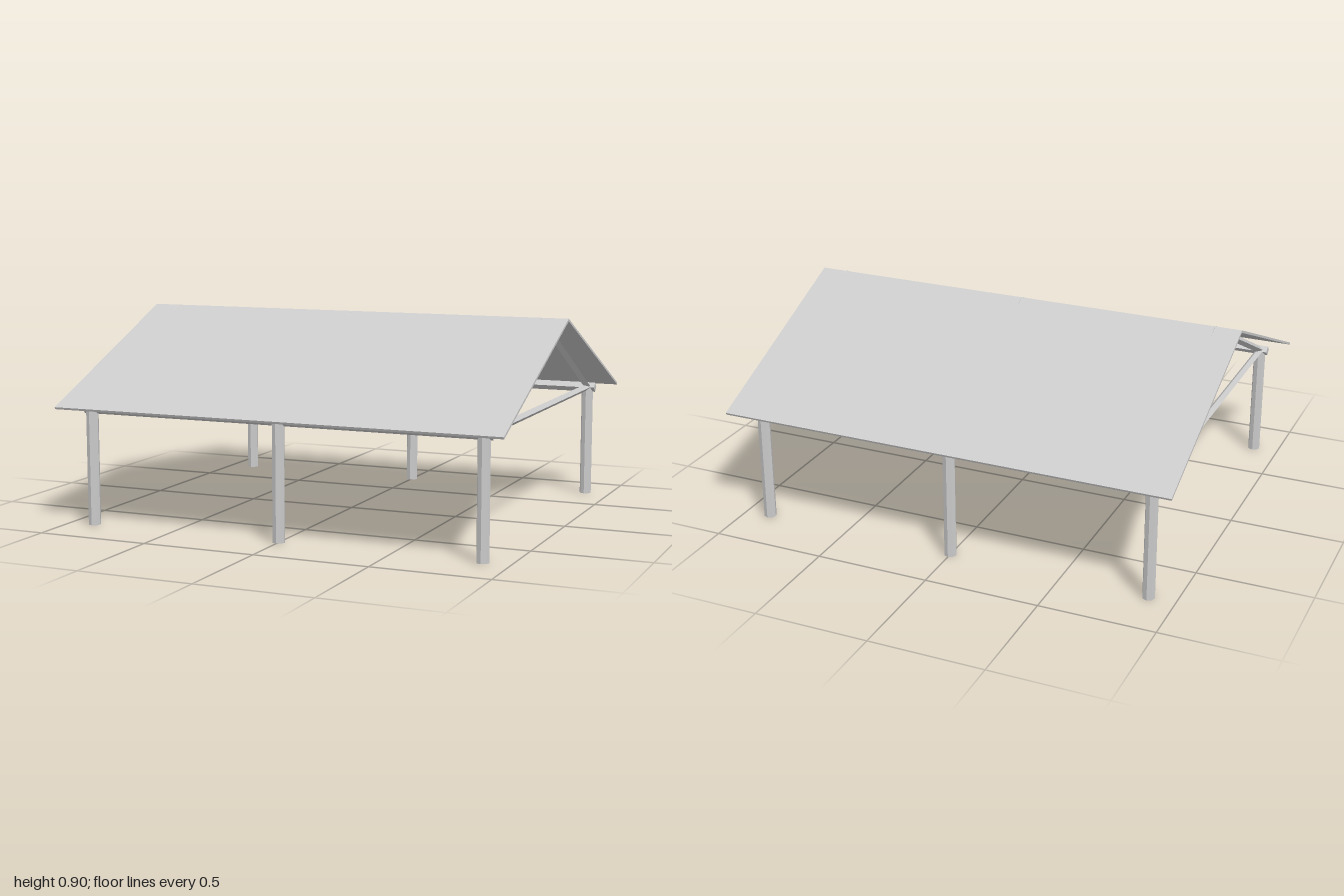
import * as THREE from 'three';

export function createModel() {
  const group = new THREE.Group();
  const grey = new THREE.MeshStandardMaterial({ color: 0xcccccc });
  grey.name = 'light grey';
  const add = (name, geometry) => {
    const mesh = new THREE.Mesh(geometry.toNonIndexed(), grey);
    mesh.geometry.computeVertexNormals(); // faceted surfaces
    mesh.name = name;
    group.add(mesh);
    return mesh;
  };

  // straight bar between two points, one corner edge facing up
  const up = new THREE.Vector3(0, 1, 0);
  const bar = (name, from, to, radius, sides) => {
    const a = new THREE.Vector3(...from);
    const b = new THREE.Vector3(...to);
    const dir = b.clone().sub(a);
    const mesh = add(name, new THREE.CylinderGeometry(radius, radius, dir.length(), sides));
    mesh.position.copy(a).add(b).multiplyScalar(0.5);
    mesh.quaternion.setFromUnitVectors(up, dir.normalize());
  };

  const postZ = 0.762, beamY = 0.508, apexY = 0.882;

  // three frames: posts, tie beam and a pair of rafters
  for (const x of [-0.885, 0, 0.885]) {
    for (const s of [-1, 1]) {
      bar('post', [x, 0, s * postZ], [x, beamY, s * postZ], 0.027, 8);
      bar('rafter', [x, beamY, s * postZ], [x, apexY, 0], 0.0165, 4);
    }
    bar('tieBeam', [x, beamY, -postZ], [x, beamY, postZ], 0.0165, 4);
  }

  // long beams along both eaves
  for (const s of [-1, 1]) {
    bar('eaveBeam', [-0.922, beamY, s * postZ], [0.922, beamY, s * postZ], 0.022, 4);
  }

  // thin gable roof, a chevron section run along x
  const section = new THREE.Shape([
    [0, 0.886], [-0.871, 0.512], [-0.875, 0.521], [0, 0.897], [0.875, 0.521], [0.871, 0.512],
  ].map(([z, y]) => new THREE.Vector2(z, y)));
  const roof = new THREE.ExtrudeGeometry(section, { depth: 2, bevelEnabled: false });
  roof.translate(0, 0, -1).rotateY(Math.PI / 2);
  add('roof', roof);

  return group;
}
